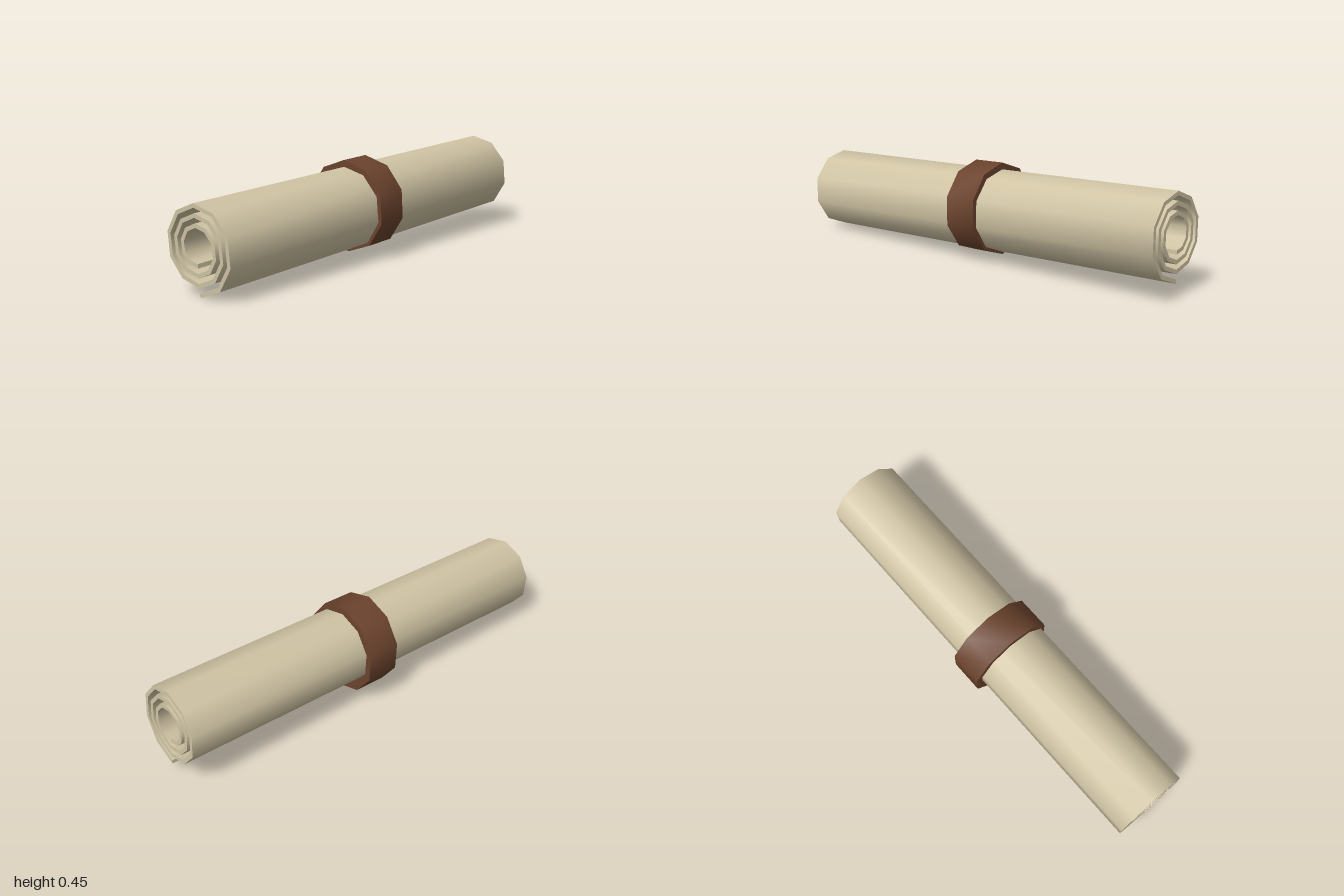
import * as THREE from 'three';
import { toCreasedNormals } from 'three/addons/utils/BufferGeometryUtils.js';

const STEPS = 10;      // facets per turn
const TURNS = 3;
const LENGTH = 1.968;

// Point on a ring of facets, counted from the bottom and going round by +x
function ringPoint(k, radius) {
  const a = -Math.PI / 2 + (k * Math.PI * 2) / STEPS;
  return new THREE.Vector2(Math.cos(a) * radius, Math.sin(a) * radius);
}

// Extrude along z, centred, with smooth sides and sharp rims
function extrudeCentred(shape, depth) {
  const geometry = new THREE.ExtrudeGeometry(shape, { depth, bevelEnabled: false });
  geometry.translate(0, 0, -depth / 2);
  return toCreasedNormals(geometry, 0.8);
}

export function createModel() {
  const parchment = new THREE.MeshStandardMaterial({ color: 0xd0c4a4 });
  parchment.name = 'parchment';
  const leather = new THREE.MeshStandardMaterial({ color: 0x6b432d });
  leather.name = 'leather';

  // Rolled sheet: a spiral strip, outer edge inwards and back along the inner face
  const outer = [], inner = [];
  for (let k = 0; k <= STEPS * TURNS; k++) {
    const r = 0.2 - 0.004 * k;
    outer.push(ringPoint(k, r));
    inner.push(ringPoint(k, r - 0.018));
  }
  const spiral = new THREE.Shape([...outer, ...inner.reverse()]);
  const sheet = new THREE.Mesh(extrudeCentred(spiral, LENGTH), parchment);
  sheet.name = 'rolledSheet';

  // Strap: a ten-sided band around the middle
  const ring = (r) => Array.from({ length: STEPS }, (_, k) => ringPoint(k, r));
  const band = new THREE.Shape(ring(0.211));
  band.holes.push(new THREE.Path(ring(0.18).reverse()));
  const strap = new THREE.Mesh(extrudeCentred(band, 0.155), leather);
  strap.name = 'strap';

  // Turn the roll: front end towards -x and slightly lower, with a little twist
  const front = new THREE.Vector3(-0.244, -0.033, 0.97).normalize();
  const side = new THREE.Vector3().crossVectors(new THREE.Vector3(-0.04, 1, 0.024), front).normalize();
  const up = new THREE.Vector3().crossVectors(front, side);
  const scroll = new THREE.Group();
  scroll.name = 'scroll';
  scroll.add(sheet, strap);
  scroll.quaternion.setFromRotationMatrix(new THREE.Matrix4().makeBasis(side, up, front));
  scroll.position.y = 0.233;

  const model = new THREE.Group();
  model.name = 'tiedScroll';
  model.add(scroll);
  return model;
}
